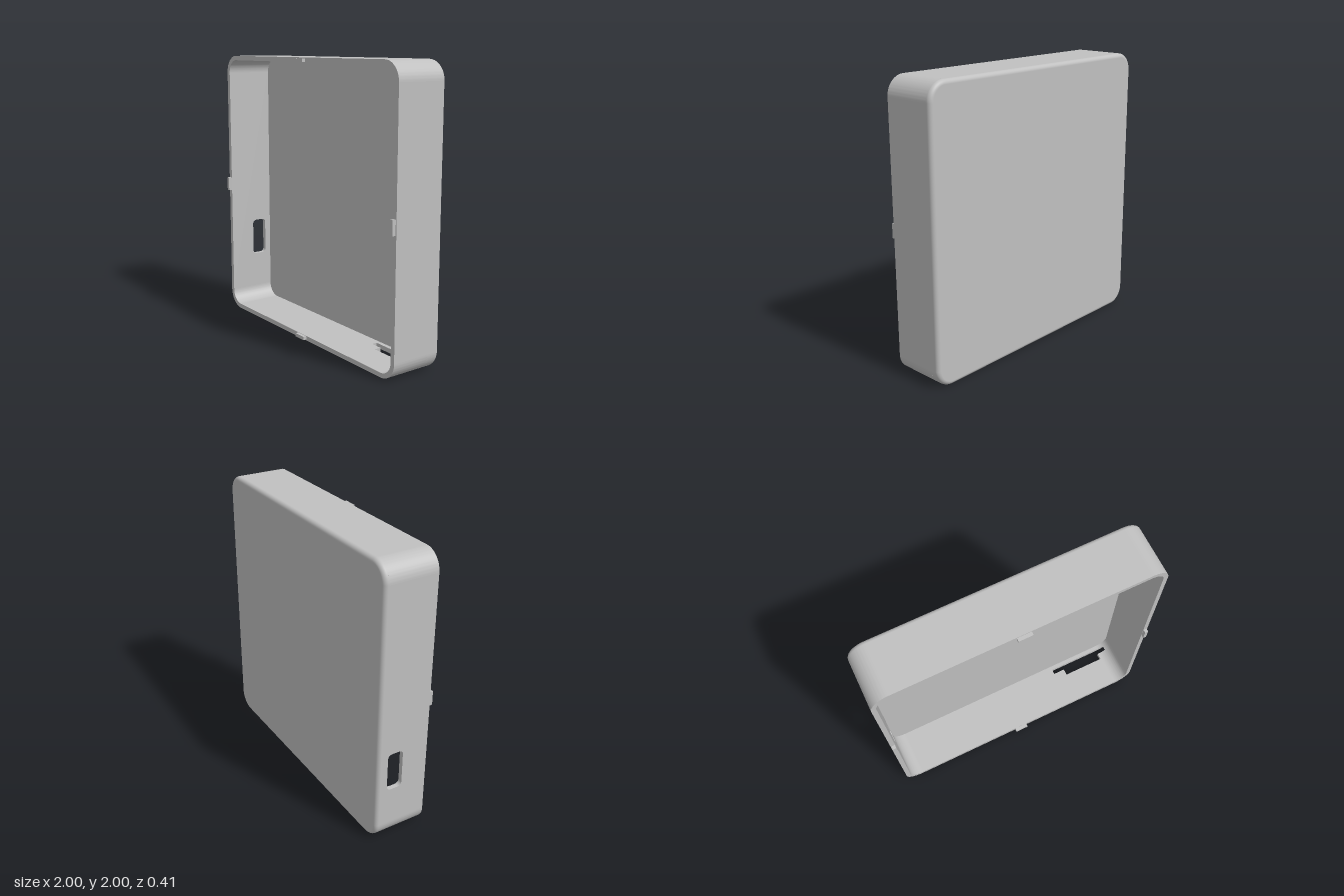
import * as THREE from 'three';
import { toCreasedNormals } from 'three/addons/utils/BufferGeometryUtils.js';

const R = 0.13, T = 0.033, C = 1 - R;             // corner radius, wall thickness, corner centre
const BACK = -0.205, FLOOR = -0.17, RIM = 0.18, FILLET = 0.03;

// Rounded rectangle, centred on (cx, cy)
function roundedRect(target, cx, cy, w, h, r) {
  const x = w / 2 - r, y = h / 2 - r;
  [[1, 1], [-1, 1], [-1, -1], [1, -1]].forEach(([sx, sy], i) =>
    target.absarc(cx + sx * x, cy + sy * y, r, i * Math.PI / 2, (i + 1) * Math.PI / 2, false));
  target.closePath();
  return target;
}

function extrude(shape, depth) {
  return new THREE.ExtrudeGeometry(shape, { depth, bevelEnabled: false, curveSegments: 14 });
}

// Rounded edge between the walls and the back, swept around the outline
function filletGeometry() {
  const pos = [], nor = [], idx = [], n = 14, steps = 8;
  const count = 4 * (n + 1);
  for (let k = -1; k <= steps; k++) {
    const t = Math.max(k, 0) / steps * Math.PI / 2;
    const r = R - FILLET * (1 - Math.cos(t));
    const z = k < 0 ? FLOOR : BACK + FILLET * (1 - Math.sin(t));
    for (let q = 0; q < 4; q++) {
      const sx = q === 0 || q === 3 ? 1 : -1, sy = q < 2 ? 1 : -1;
      for (let i = 0; i <= n; i++) {
        const a = (q + i / n) * Math.PI / 2;
        pos.push(sx * C + r * Math.cos(a), sy * C + r * Math.sin(a), z);
        nor.push(Math.cos(a) * Math.cos(t), Math.sin(a) * Math.cos(t), -Math.sin(t));
      }
    }
  }
  for (let k = 0; k <= steps; k++) {
    for (let i = 0; i < count; i++) {
      const j = (i + 1) % count;
      const a = k * count + i, b = k * count + j, c = a + count, d = b + count;
      idx.push(a, c, b, b, c, d);
    }
  }
  const g = new THREE.BufferGeometry();
  g.setAttribute('position', new THREE.Float32BufferAttribute(pos, 3));
  g.setAttribute('normal', new THREE.Float32BufferAttribute(nor, 3));
  g.setIndex(idx);
  return g;
}

export function createModel() {
  const model = new THREE.Group();
  model.name = 'openCase';
  const grey = new THREE.MeshStandardMaterial({ color: 0xc0c0c0 });
  grey.name = 'grey plastic';

  const body = new THREE.Group();
  body.name = 'body';
  body.position.y = 1;
  model.add(body);
  const add = (name, geometry) => {
    const mesh = new THREE.Mesh(geometry, grey);
    mesh.name = name;
    body.add(mesh);
    return mesh;
  };

  // Back plate: inner floor, rounded edge, outer face
  const floor = new THREE.ShapeGeometry(roundedRect(new THREE.Shape(), 0, 0, 2, 2, R), 14);
  add('innerFloor', floor.translate(0, 0, FLOOR));
  add('backEdge', filletGeometry());
  const side = 2 - 2 * FILLET;
  const back = new THREE.ShapeGeometry(roundedRect(new THREE.Shape(), 0, 0, side, side, R - FILLET), 14);
  add('backFace', back.rotateY(Math.PI).translate(0, 0, BACK));

  // Straight walls, drawn flat and turned into place
  const plain = (swap) => new THREE.Shape((swap
    ? [[FLOOR, -C], [RIM, -C], [RIM, C], [FLOOR, C]]
    : [[-C, FLOOR], [C, FLOOR], [C, RIM], [-C, RIM]]).map(p => new THREE.Vector2(...p)));
  const uprightWall = (shape, x) => extrude(shape, T).rotateY(-Math.PI / 2).translate(x, 0, 0);
  const levelWall = (shape, y) => extrude(shape, T).rotateX(Math.PI / 2).translate(0, y, 0);

  add('leftWall', uprightWall(plain(true), 1));
  add('topWall', levelWall(plain(false), 1));

  // Right wall with a rounded port opening
  const portWall = plain(true);
  portWall.holes.push(roundedRect(new THREE.Path(), -0.067, -0.46, 0.115, 0.28, 0.03));
  add('portWall', uprightWall(portWall, -1 + T));

  // Bottom wall with a stepped slot that runs into the corner
  const S0 = -0.14, S1 = -0.10;
  const slotted = new THREE.Shape([
    [-C, FLOOR], [C, FLOOR], [C, S0], [0.45, S0], [0.45, S1], [0.54, S1],
    [0.54, -0.05], [0.86, -0.05], [0.86, S1], [C, S1], [C, RIM], [-C, RIM],
  ].map(p => new THREE.Vector2(...p)));
  add('bottomWall', levelWall(slotted, -1 + T));

  // Rounded corners
  const corner = (name, sx, sy, a0, a1, z0, z1) => {
    const s = new THREE.Shape();
    s.absarc(0, 0, R, a0, a1, false);
    s.absarc(0, 0, R - T, a1, a0, true);
    s.closePath();
    add(name, toCreasedNormals(extrude(s, z1 - z0), 0.5).translate(sx * C, sy * C, z0));
  };
  const Q = Math.PI / 2;
  corner('topLeftCorner', 1, 1, 0, Q, FLOOR, RIM);
  corner('topRightCorner', -1, 1, Q, 2 * Q, FLOOR, RIM);
  corner('bottomRightCorner', -1, -1, 2 * Q, 3 * Q, FLOOR, RIM);
  corner('bottomLeftCornerBack', 1, -1, -Q, 0, FLOOR, S0);
  corner('bottomLeftCornerSlot', 1, -1, -Q + 0.63, 0, S0, S1);
  corner('bottomLeftCornerFront', 1, -1, -Q, 0, S1, RIM);

  // Locating tabs in the middle of each rim edge
  for (let i = 0; i < 4; i++) {
    const tab = new THREE.BoxGeometry(0.1, 0.024, 0.035).translate(0, 0.981, 0.1875);
    add('rimTab', tab.rotateZ(i * Q));
  }
  return model;
}
